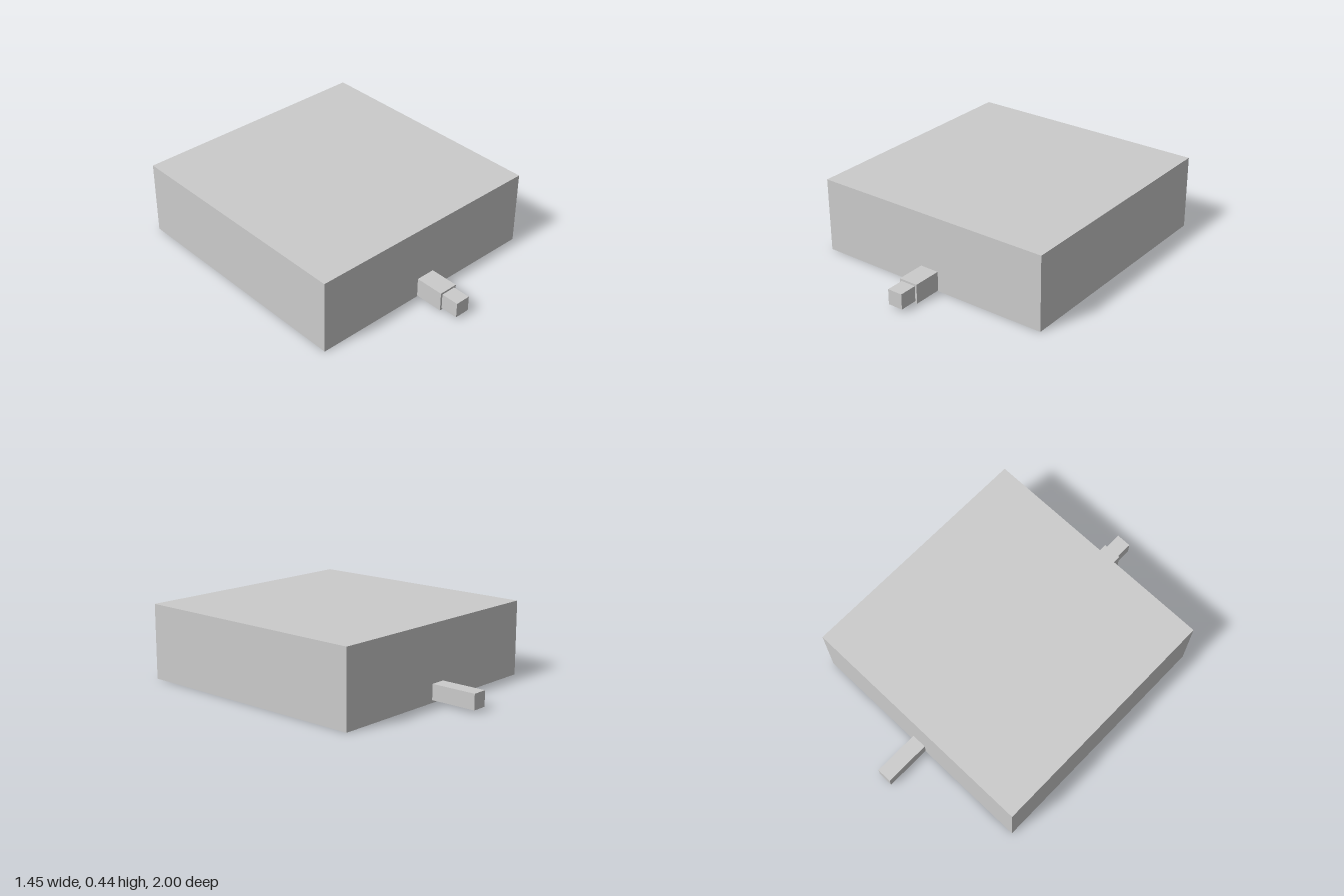
import * as THREE from 'three';

const material = new THREE.MeshStandardMaterial({ color: 0xcccccc, flatShading: true });

// Box given by its width, its y range and its z range, centred on x = 0
function box(name, width, [y0, y1], [z0, z1]) {
  const mesh = new THREE.Mesh(new THREE.BoxGeometry(width, y1 - y0, z1 - z0), material);
  mesh.position.set(0, (y0 + y1) / 2, (z0 + z1) / 2);
  mesh.name = name;
  return mesh;
}

export function createModel() {
  const model = new THREE.Group();
  model.name = 'packageWithLeads';

  // Flat square body
  model.add(box('body', 1.45, [0, 0.436], [-0.725, 0.725]));

  // Thin leads at front and back
  model.add(box('frontLead', 0.09, [0.016, 0.106], [0.7, 1]));
  model.add(box('backLead', 0.09, [0.016, 0.106], [-1, -0.7]));

  // Thicker sleeve around the root of the front lead
  model.add(box('frontSleeve', 0.114, [0.005, 0.118], [0.7, 0.895]));

  return model;
}
